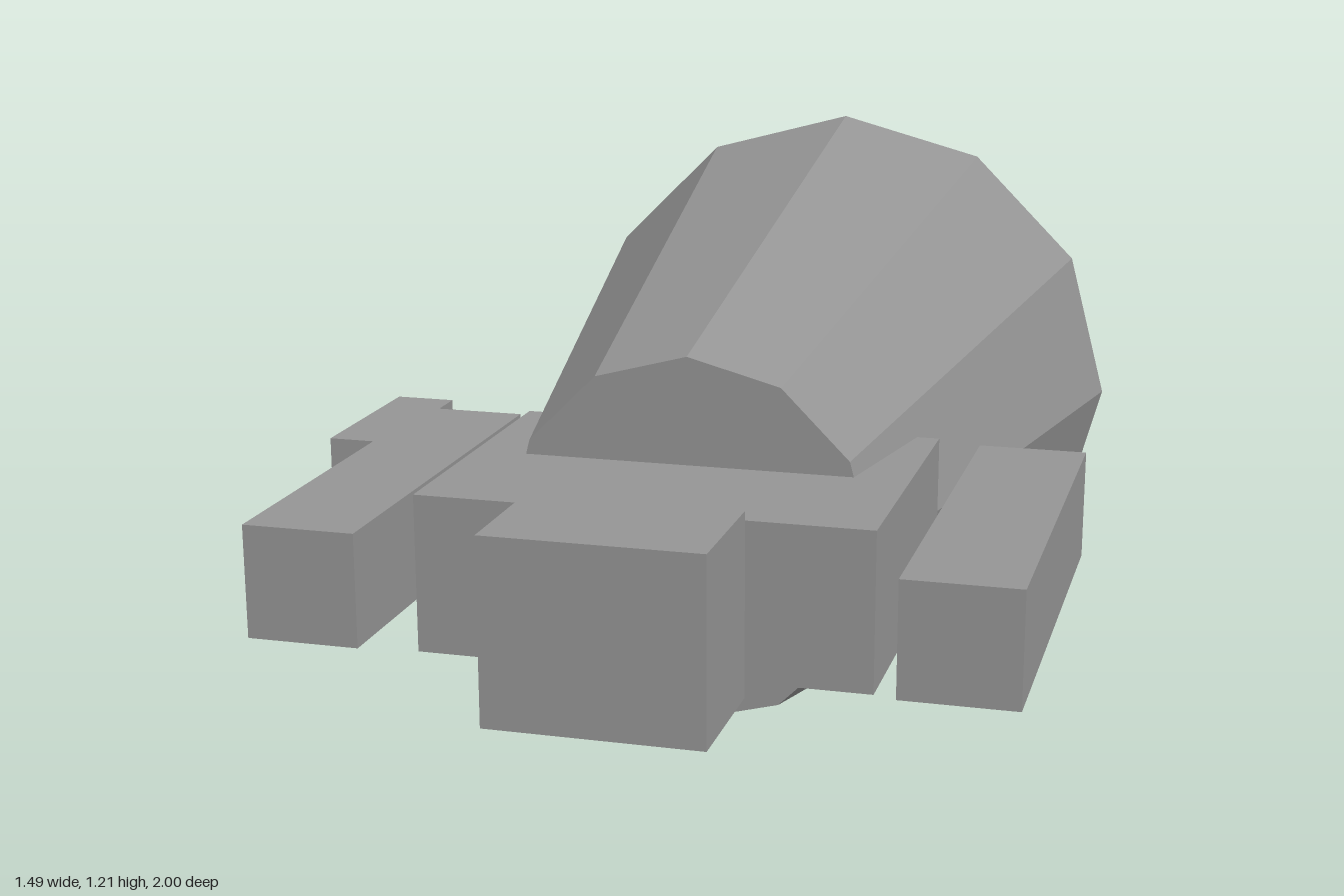
import * as THREE from 'three';

export function createModel() {
  const group = new THREE.Group();
  const material = new THREE.MeshStandardMaterial({ color: 0x959595, flatShading: true });

  // Box given by its limits along each axis
  function box(name, [x0, x1], [y0, y1], [z0, z1]) {
    const mesh = new THREE.Mesh(new THREE.BoxGeometry(x1 - x0, y1 - y0, z1 - z0), material);
    mesh.name = name;
    mesh.position.set((x0 + x1) / 2, (y0 + y1) / 2, (z0 + z1) / 2);
    group.add(mesh);
  }

  // Twelve-sided tapered hull, wide at the back
  const hull = new THREE.Mesh(
    new THREE.CylinderGeometry(0.343, 0.605, 1.352, 12).rotateX(Math.PI / 2), material);
  hull.name = 'taperedHull';
  hull.position.set(0.08, 0.605, -0.242);
  group.add(hull);

  // Body and nose blocks
  box('frontBody', [-0.323, 0.485], [0.464, 0.749], [0.132, 0.737]);
  box('noseBlock', [-0.112, 0.269], [0.444, 0.772], [0.757, 1]);

  // Side pods
  box('rightPod', [-0.588, -0.385], [0.505, 0.709], [0.012, 0.855]);
  box('leftPod', [0.544, 0.746], [0.505, 0.709], [0.012, 0.855]);

  // Small outrigger, on the right side only
  box('outrigger', [-0.748, -0.626], [0.546, 0.664], [-0.232, 0.13]);

  // Pair of rear exhaust blocks
  for (const [name, x] of [['rightExhaust', -0.072], ['leftExhaust', 0.23]]) {
    box(name, [x - 0.091, x + 0.091], [0.506, 0.706], [-1, -0.9]);
  }
  return group;
}
